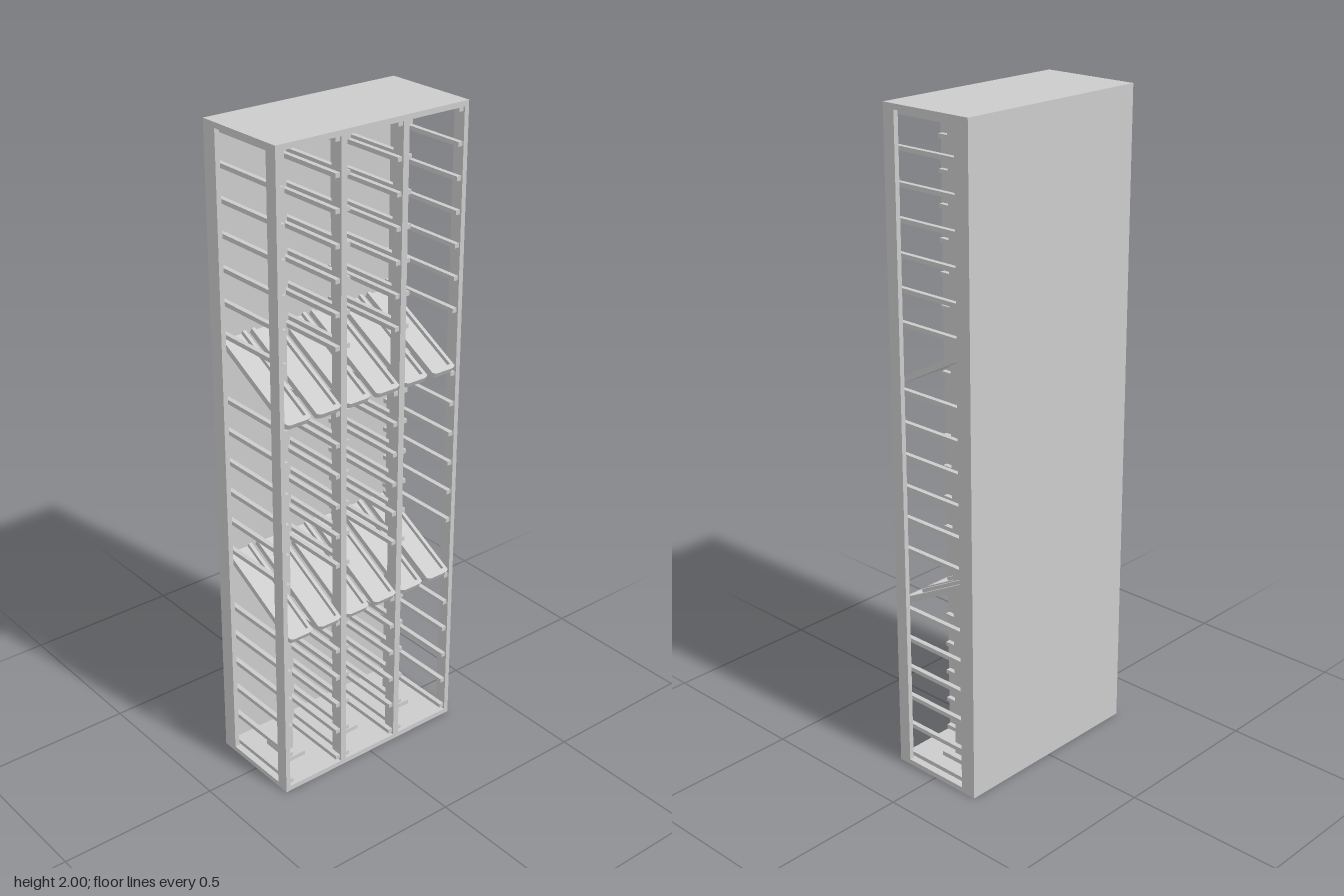
import * as THREE from 'three';

const W = 0.325, H = 2, BACK = -0.16, FRONT = 0.15, T = 0.016;
const material = new THREE.MeshStandardMaterial({ color: 0xcccccc, flatShading: true, side: THREE.DoubleSide });

// Box given by its extents on each axis
function addBox(parent, name, [x0, x1], [y0, y1], [z0, z1]) {
  const mesh = new THREE.Mesh(new THREE.BoxGeometry(x1 - x0, y1 - y0, z1 - z0), material);
  mesh.position.set((x0 + x1) / 2, (y0 + y1) / 2, (z0 + z1) / 2);
  mesh.name = name;
  parent.add(mesh);
  return mesh;
}

// Front and back uprights sharing one ladder plane
function addUprights(parent, x0, x1) {
  addBox(parent, 'frontPost', [x0, x1], [T, H - T], [0.11, FRONT]);
  addBox(parent, 'backPost', [x0, x1], [T, H - T], [-0.15, -0.11]);
}

// Heights of the bottle rungs, leaving gaps where the trays pass
function rungHeights() {
  const heights = [];
  for (let i = 0; i < 6; i++) {
    heights.push(0.03 + i * 0.0972, 0.712 + i * 0.0972, 1.395 + i * 0.0972);
  }
  heights.push(1.977);
  return heights;
}

function addRungs(parent, x0, x1) {
  for (const y of rungHeights()) {
    addBox(parent, 'rung', [x0, x1], [y - 0.0065, y + 0.0065], [-0.15, 0.145]);
  }
}

// Sloping display tray: thin floor, raised side rims, bevelled front lip
function makeTray() {
  const tray = new THREE.Group();
  tray.name = 'displayTray';
  const half = 0.0425, length = 0.337, depth = 0.018, rim = 0.011;
  addBox(tray, 'trayFloor', [-half, half], [-depth, -depth + 0.006], [-length, -0.008]);
  for (const s of [-1, 1]) {
    const edges = [s * half, s * (half - rim)].sort((a, b) => a - b);
    addBox(tray, 'trayRim', edges, [-depth, 0], [-length, -0.008]);
  }
  // Lip outline is drawn in plan and extruded through the tray thickness
  const outline = new THREE.Shape();
  outline.moveTo(-half, 0.016);
  outline.lineTo(-half, 0.007);
  outline.quadraticCurveTo(-half + 0.008, 0, -half + 0.016, 0);
  outline.lineTo(half - 0.016, 0);
  outline.quadraticCurveTo(half - 0.008, 0, half, 0.007);
  outline.lineTo(half, 0.016);
  outline.closePath();
  const geometry = new THREE.ExtrudeGeometry(outline, { depth, bevelEnabled: false, curveSegments: 4 });
  geometry.rotateX(-Math.PI / 2);
  geometry.translate(0, -depth, 0);
  const lip = new THREE.Mesh(geometry, material);
  lip.name = 'trayLip';
  tray.add(lip);
  tray.rotation.x = Math.atan(0.53);
  return tray;
}

export function createModel() {
  const rack = new THREE.Group();
  rack.name = 'bottleRack';

  // Case
  addBox(rack, 'backPanel', [-W, W], [0, H], [BACK, -0.15]);
  addBox(rack, 'bottomPanel', [-W, W], [0, T], [-0.15, FRONT]);
  addBox(rack, 'topPanel', [-W, W], [H - T, H], [-0.15, FRONT]);

  // Open ladder sides and the two dividers
  for (const s of [-1, 1]) {
    const side = new THREE.Group();
    side.name = s > 0 ? 'leftLadder' : 'rightLadder';
    const span = (a, b) => [s * a, s * b].sort((p, q) => p - q);
    addUprights(side, ...span(0.31, W));
    addRungs(side, ...span(0.295, 0.31));

    const divider = new THREE.Group();
    divider.name = s > 0 ? 'leftDivider' : 'rightDivider';
    addUprights(divider, ...span(0.095, 0.115));
    addRungs(divider, ...span(0.115, 0.13));
    addRungs(divider, ...span(0.08, 0.095));
    rack.add(side, divider);
  }

  // Slim central post in each bay, with a foot and a cap
  for (const x of [-0.21, 0, 0.21]) {
    addBox(rack, 'centrePost', [x - 0.01, x + 0.01], [T, H - T], [-0.025, 0.02]);
    for (const y of [T, H - T - 0.014]) {
      addBox(rack, 'postFoot', [x - 0.03, x + 0.03], [y, y + 0.014], [-0.06, 0.055]);
    }
  }

  // Two rows of six sloping trays
  for (const y of [0.538, 1.223]) {
    for (let i = 0; i < 6; i++) {
      const tray = makeTray();
      tray.position.set((i - 2.5) * 0.105, y, 0.156);
      rack.add(tray);
    }
  }
  return rack;
}
